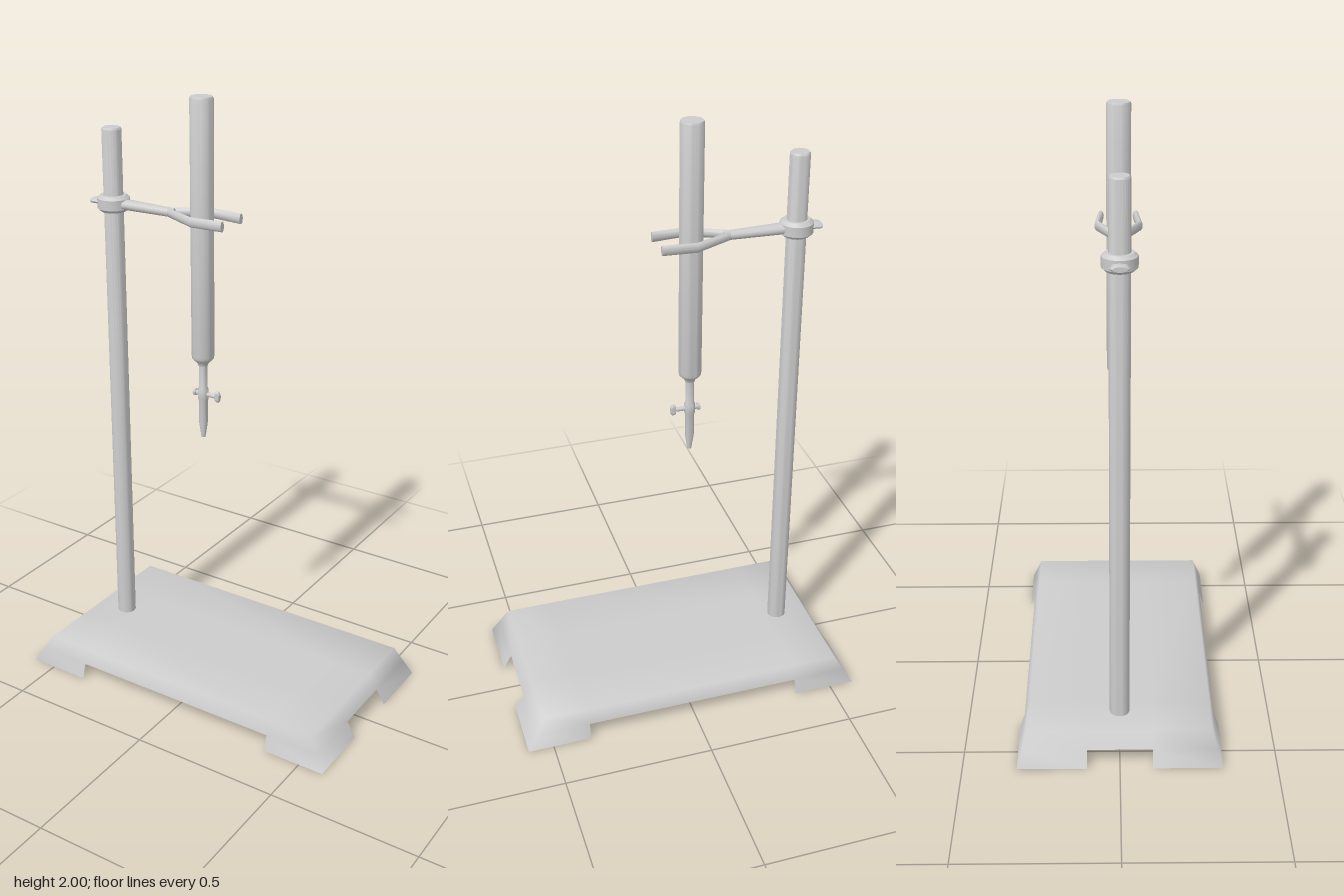
import * as THREE from 'three';
import { toCreasedNormals } from 'three/addons/utils/BufferGeometryUtils.js';

const grey = new THREE.MeshStandardMaterial({ color: 0xcccccc });
const thin = new THREE.MeshStandardMaterial({ color: 0xcccccc, side: THREE.DoubleSide });

function add(parent, name, geometry, material = grey) {
  const mesh = new THREE.Mesh(geometry, material);
  mesh.name = name;
  parent.add(mesh);
  return mesh;
}

// Indexed geometry from points and quads (corners counter-clockwise seen from outside)
function quadGeometry(points, quads) {
  const g = new THREE.BufferGeometry();
  g.setAttribute('position', new THREE.Float32BufferAttribute(points.flat(), 3));
  g.setIndex(quads.flatMap(([a, b, c, d]) => [a, b, c, a, c, d]));
  g.computeVertexNormals();
  return g;
}

// Pressed tray: flat top, sloping skirt, the lower half of the skirt only at the corners
function trayGeometry() {
  const points = [], quads = [];
  const xs = (h) => [-h, -0.37, 0.37, h], zs = (h) => [-h, -0.105, 0.105, h];
  const topX = xs(0.525), topZ = zs(0.295);
  for (let j = 0; j < 4; j++) for (let i = 0; i < 4; i++) points.push([topX[i], 0.1, topZ[j]]);
  for (let j = 0; j < 3; j++) for (let i = 0; i < 3; i++) {
    const a = j * 4 + i;
    quads.push([a, a + 4, a + 5, a + 1]);
  }
  // Rim stations, running from back left round by the front
  const rim = [[0, 0], [0, 1], [0, 2], [0, 3], [1, 3], [2, 3], [3, 3], [3, 2], [3, 1], [3, 0], [2, 0], [1, 0]];
  let upper = rim.map(([i, j]) => j * 4 + i);
  [[0.555, 0.3115, 0.05], [0.585, 0.328, 0]].forEach(([hx, hz, y], level) => {
    const X = xs(hx), Z = zs(hz), start = points.length;
    rim.forEach(([i, j]) => points.push([X[i], y, Z[j]]));
    const lower = rim.map((_, k) => start + k);
    rim.forEach((_, k) => {
      const n = (k + 1) % 12;
      const notch = k % 3 === 1;
      if (level === 0 || !notch) quads.push([upper[k], lower[k], lower[n], upper[n]]);
    });
    upper = lower;
  });
  return quadGeometry(points, quads);
}

// Oval bar along x through stations [x, z, half width, half height]
function barGeometry(stations, y, sides = 12) {
  const points = [], quads = [];
  const full = [[...stations[0].slice(0, 2), 0, 0], ...stations, [...stations.at(-1).slice(0, 2), 0, 0]];
  full.forEach(([x, z, w, h], s) => {
    for (let k = 0; k < sides; k++) {
      const t = (k / sides) * Math.PI * 2;
      points.push([x, y + Math.cos(t) * h, z + Math.sin(t) * w]);
      if (s > 0) {
        const n = (k + 1) % sides, a = (s - 1) * sides, b = s * sides;
        quads.push([a + k, a + n, b + n, b + k]);
      }
    }
  });
  return toCreasedNormals(quadGeometry(points, quads), 0.8);
}

// Turned part from [radius, y] pairs, bottom to top
function turned(profile, segments = 24) {
  const g = new THREE.LatheGeometry(profile.map(([r, y]) => new THREE.Vector2(r, y)), segments);
  return toCreasedNormals(g, 0.6);
}

export function createModel() {
  const model = new THREE.Group();
  model.name = 'buretteStand';
  const poleX = -0.418, tubeX = -0.075, clampY = 1.626;

  add(model, 'base', trayGeometry(), thin);

  // Upright rod
  add(model, 'pole', turned([[0, 0.09], [0.032, 0.09], [0.032, 1.864], [0.028, 1.87], [0, 1.87]]))
    .position.x = poleX;

  // Clamp: collar, thumb screw, arm and two prongs
  const clamp = new THREE.Group();
  clamp.name = 'clamp';
  model.add(clamp);
  add(clamp, 'collar', turned([[0.03, 1.6], [0.042, 1.6], [0.053, 1.61], [0.053, 1.643], [0.042, 1.653], [0.03, 1.653]]))
    .position.x = poleX;
  add(clamp, 'thumbScrew', barGeometry([[-0.48, 0, 0.011, 0.011], [-0.44, 0, 0.011, 0.011]], clampY));
  add(clamp, 'screwWing', barGeometry([
    [-0.498, 0, 0.022, 0.008], [-0.49, 0, 0.028, 0.01], [-0.465, 0, 0.025, 0.01],
  ], clampY));
  add(clamp, 'arm', barGeometry([
    [-0.39, 0, 0.026, 0.018], [-0.37, 0, 0.025, 0.017], [-0.2, 0, 0.017, 0.015], [-0.18, 0, 0.01, 0.014],
  ], clampY));
  for (const side of [-1, 1]) {
    add(clamp, side > 0 ? 'frontProng' : 'backProng', barGeometry([
      [-0.198, side * 0.006, 0.01, 0.014], [-0.075, side * 0.063, 0.01, 0.016], [0.034, side * 0.054, 0.0095, 0.017],
    ], clampY));
  }

  // Glass tube with its narrow neck and tip
  const burette = new THREE.Group();
  burette.name = 'burette';
  burette.position.x = tubeX;
  model.add(burette);
  add(burette, 'tube', turned([
    [0, 1.13], [0.016, 1.135], [0.018, 1.143], [0.035, 1.16], [0.037, 1.17], [0.037, 1.994], [0.034, 2], [0, 2],
  ]));
  add(burette, 'tip', turned([
    [0, 0.88], [0.007, 0.88], [0.015, 0.935], [0.015, 1.01], [0.018, 1.02], [0.018, 1.05], [0.014, 1.06], [0.014, 1.14],
  ], 16));

  // Stopcock across the neck
  const stopcock = new THREE.Group();
  stopcock.name = 'stopcock';
  stopcock.position.y = 1.035;
  burette.add(stopcock);
  add(stopcock, 'stopcockPlug', barGeometry([[-0.03, 0, 0.008, 0.008], [0.05, 0, 0.007, 0.007]], 0));
  add(stopcock, 'plugCap', barGeometry([[-0.034, 0, 0.012, 0.012], [-0.026, 0, 0.012, 0.012]], 0));
  add(stopcock, 'stopcockHandle', barGeometry([
    [0.048, 0, 0.008, 0.016], [0.053, 0, 0.009, 0.02], [0.059, 0, 0.009, 0.02], [0.064, 0, 0.007, 0.014],
  ], 0));

  return model;
}
